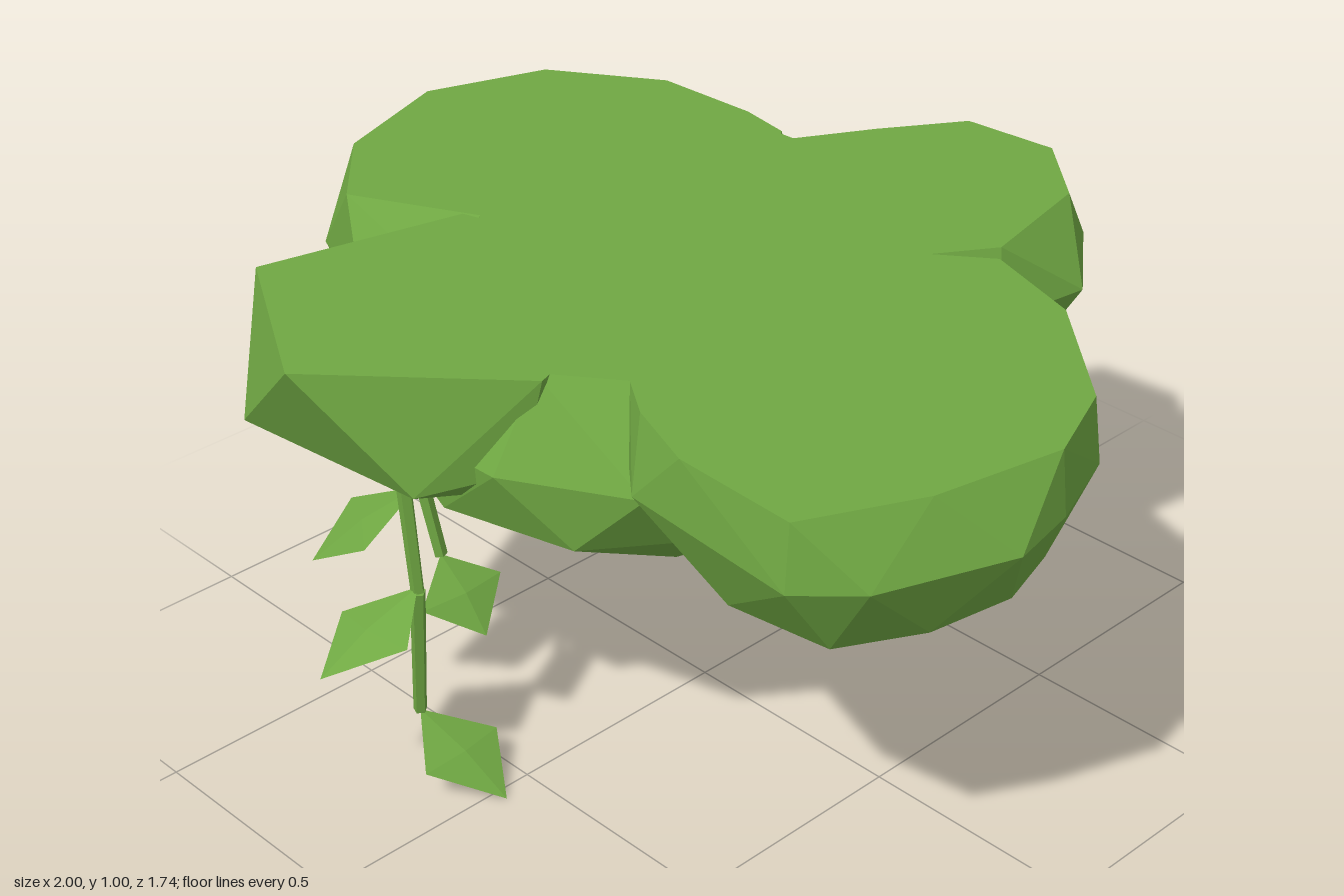
import * as THREE from 'three';
import { ConvexGeometry } from 'three/addons/geometries/ConvexGeometry.js';

const V = (x, y, z) => new THREE.Vector3(x, y, z);

// Flat-topped faceted lobe: a rim at y = 1, then the widest outline [x, z]
// scaled per height ring [y, scale], every second ring turned by half a step
function lobeGeometry(rim, outline, [cx, cz], rings) {
  const points = rim.map(([x, z]) => V(x, 1, z));
  rings.forEach(([y, s], r) => outline.forEach((p, i) => {
    const q = outline[(i + 1) % outline.length];
    const t = r % 2 ? 0.5 : 0;
    const x = p[0] + (q[0] - p[0]) * t;
    const z = p[1] + (q[1] - p[1]) * t;
    points.push(V(cx + (x - cx) * s, y, cz + (z - cz) * s));
  }));
  return new ConvexGeometry(points);
}

// Thin vine section between two points
function stemGeometry(a, b) {
  const from = V(...a), to = V(...b), dir = to.clone().sub(from);
  const g = new THREE.CylinderGeometry(0.014, 0.016, dir.length(), 5);
  g.applyQuaternion(new THREE.Quaternion().setFromUnitVectors(V(0, 1, 0), dir.normalize()));
  const mid = from.add(to).multiplyScalar(0.5);
  return g.translate(mid.x, mid.y, mid.z);
}

// Diamond leaf (base, side, tip, side), slightly thicker in the middle
function leafGeometry(...corners) {
  const c = corners.map((p) => V(...p));
  const mid = c[0].clone().add(c[2]).multiplyScalar(0.5);
  const bulge = c[2].clone().sub(c[0]).cross(c[3].clone().sub(c[1])).setLength(0.012);
  return new ConvexGeometry([...c, mid.clone().add(bulge), mid.clone().sub(bulge)]);
}

export function createModel() {
  const group = new THREE.Group();
  const green = new THREE.MeshStandardMaterial({ color: 0x70a843, flatShading: true });
  green.name = 'leaf green';
  const add = (name, geometry) => {
    const mesh = new THREE.Mesh(geometry, green);
    mesh.name = name;
    group.add(mesh);
  };

  // Canopy lobes
  add('mainFoliage', lobeGeometry(
    [[0.13, 0.55], [0.28, 0.44], [0.3, 0.1], [0.3, -0.3], [0, -0.5], [-0.28, -0.49], [-0.42, 0.21], [-0.15, 0.53]],
    [[0.12, 0.65], [0.37, 0.51], [0.48, 0.15], [0.49, -0.2], [0.38, -0.47], [0, -0.66],
      [-0.4, -0.52], [-0.53, -0.1], [-0.49, 0.3], [-0.2, 0.66]],
    [0, -0.08], [[0.82, 1], [0.68, 0.98], [0.56, 0.68], [0.46, 0.28]]));
  add('leftFoliage', lobeGeometry(
    [[0.42, -0.38], [0.64, -0.31], [0.88, -0.1], [0.955, 0.08], [0.9, 0.35], [0.79, 0.58],
      [0.52, 0.57], [0.36, 0.51], [0.27, 0.45], [0.05, 0.1], [0.3, -0.29]],
    [[0.42, -0.4], [0.64, -0.32], [0.9, -0.1], [0.97, 0.08], [1, 0.23], [0.9, 0.5],
      [0.8, 0.6], [0.4, 0.57], [0.2, 0.4], [0.05, 0.1], [0.15, -0.25]],
    [0.52, 0.12], [[0.87, 1], [0.71, 0.86], [0.6, 0.54], [0.55, 0.1]]));
  add('rightFoliage', lobeGeometry(
    [[-0.96, -0.1], [-0.87, -0.36], [-0.64, -0.51], [-0.4, -0.52], [-0.28, -0.5], [-0.1, -0.2],
      [-0.2, 0.1], [-0.46, 0.23], [-0.68, 0.34], [-0.86, 0.18]],
    [[-0.98, -0.28], [-0.79, -0.53], [-0.47, -0.6], [-0.3, -0.55], [-0.1, -0.3],
      [-0.1, 0], [-0.3, 0.3], [-0.56, 0.41], [-0.82, 0.3], [-1, 0.04]],
    [-0.57, -0.1], [[0.83, 1], [0.68, 0.88], [0.61, 0.56], [0.56, 0.12]]));
  add('backFoliage', lobeGeometry(
    [[-0.15, -0.65], [-0.04, -0.82], [0.17, -0.84], [0.33, -0.7], [0.39, -0.42],
      [0.3, -0.28], [-0.1, -0.2], [-0.24, -0.49]],
    [[-0.3, -0.53], [-0.16, -0.78], [0.07, -0.87], [0.29, -0.81], [0.45, -0.61],
      [0.42, -0.4], [0.25, -0.2], [-0.1, -0.2]],
    [0.1, -0.5], [[0.86, 1], [0.71, 0.86], [0.65, 0.4]]));
  add('frontFoliage', new ConvexGeometry([
    // rim
    V(-0.45, 1, 0.23), V(-0.55, 1, 0.66), V(-0.18, 1, 0.87), V(0.16, 1, 0.56), V(0, 1, 0.1),
    // shoulder
    V(-0.59, 0.8, 0.42), V(-0.43, 0.77, 0.8), V(0, 0.76, 0.74), V(0.12, 0.8, 0.58),
    // underside
    V(-0.46, 0.71, 0.36), V(-0.25, 0.66, 0.57), V(-0.2, 0.62, 0.46), V(0.05, 0.7, 0.5), V(0, 0.68, 0.2),
  ]));

  // Hanging vines: each a path of stem points and its leaves
  const vines = [
    { path: [[-0.15, 0.74, 0.65], [-0.13, 0.45, 0.645], [-0.18, 0.13, 0.62]],
      leaves: [
        [[-0.13, 0.46, 0.645], [-0.05, 0.4, 0.74], [-0.17, 0.33, 0.86], [-0.25, 0.39, 0.74]],
        [[-0.18, 0.13, 0.62], [-0.07, 0.07, 0.7], [0.03, 0, 0.58], [-0.09, 0.07, 0.5]]] },
    { path: [[-0.24, 0.72, 0.56], [-0.2, 0.45, 0.53]],
      leaves: [
        [[-0.22, 0.61, 0.56], [-0.19, 0.55, 0.72], [-0.32, 0.48, 0.75], [-0.37, 0.54, 0.61]],
        [[-0.2, 0.45, 0.53], [-0.14, 0.39, 0.63], [-0.07, 0.32, 0.53], [-0.14, 0.39, 0.43]]] },
    { path: [[0.15, 0.56, -0.135], [0.1, 0.19, -0.17]],
      leaves: [
        [[0.15, 0.49, -0.14], [0.29, 0.43, -0.17], [0.29, 0.36, -0.31], [0.16, 0.42, -0.31]],
        [[0.1, 0.19, -0.17], [0, 0.13, -0.09], [-0.11, 0.06, -0.22], [0, 0.13, -0.29]]] },
    { path: [[-0.24, 0.66, -0.12], [-0.25, 0.42, -0.14]],
      leaves: [
        [[-0.25, 0.42, -0.14], [-0.21, 0.35, -0.03], [-0.31, 0.3, 0.05], [-0.37, 0.37, -0.05]]] },
    { path: [[-0.19, 0.66, -0.37], [-0.22, 0.3, -0.41]],
      leaves: [
        [[-0.2, 0.53, -0.39], [-0.3, 0.48, -0.48], [-0.2, 0.41, -0.59], [-0.11, 0.46, -0.49]],
        [[-0.22, 0.29, -0.41], [-0.22, 0.24, -0.26], [-0.37, 0.17, -0.25], [-0.37, 0.24, -0.41]]] },
  ];
  for (const { path, leaves } of vines) {
    for (let i = 1; i < path.length; i++) add('vineStem', stemGeometry(path[i - 1], path[i]));
    for (const corners of leaves) add('vineLeaf', leafGeometry(...corners));
  }
  return group;
}
